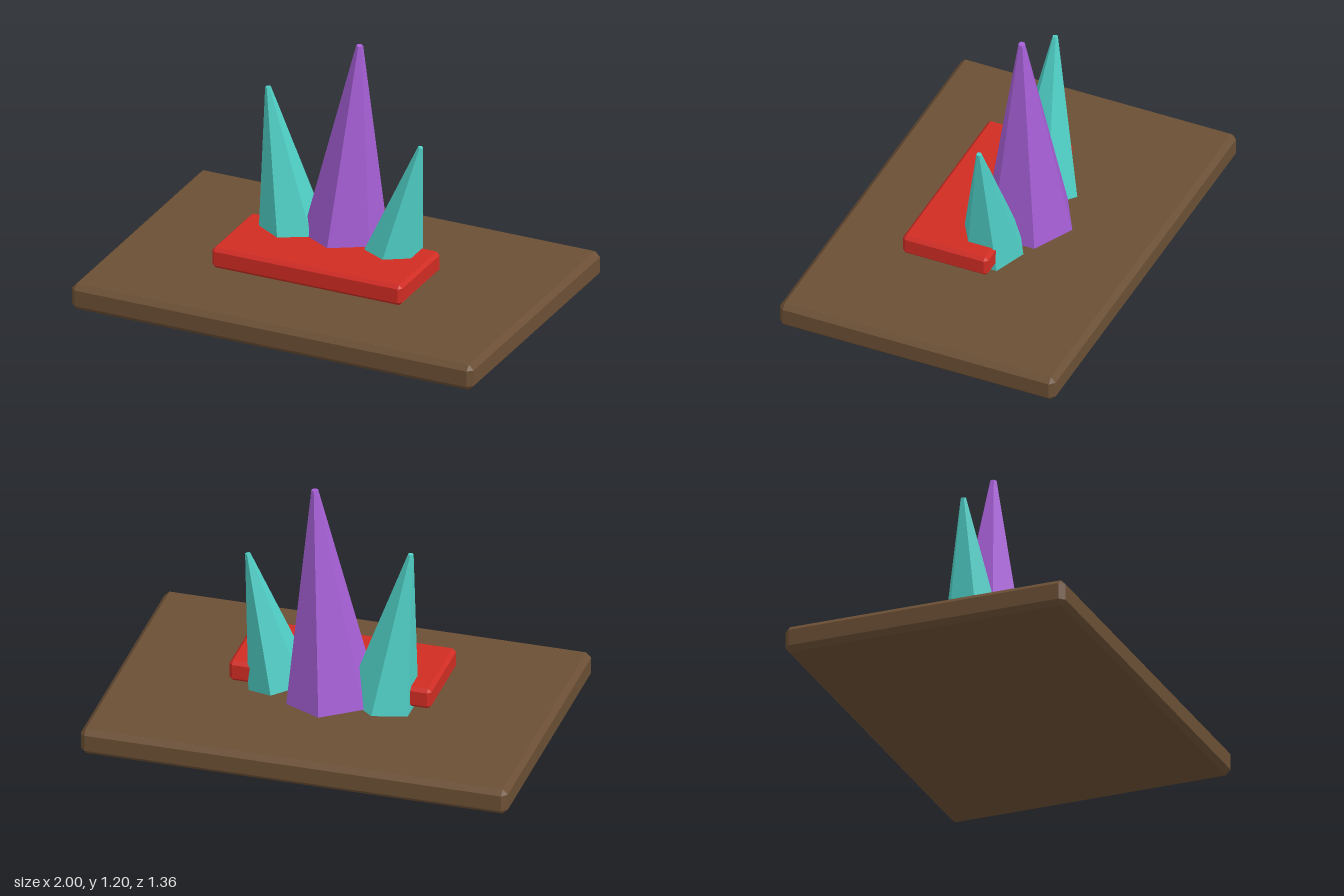
import * as THREE from 'three';
import { ConvexGeometry } from 'three/addons/geometries/ConvexGeometry.js';

const material = (name, color) => {
  const m = new THREE.MeshStandardMaterial({ color });
  m.name = name;
  return m;
};

// Box with every edge and corner cut flat by c
function chamferedBox(w, h, d, c) {
  const points = [];
  for (const sx of [-1, 1]) for (const sy of [-1, 1]) for (const sz of [-1, 1]) {
    for (let outer = 0; outer < 3; outer++) {
      const inset = [0, 1, 2].map((axis) => (axis === outer ? 0 : c));
      points.push(new THREE.Vector3(
        sx * (w / 2 - inset[0]), sy * (h / 2 - inset[1]), sz * (d / 2 - inset[2])));
    }
  }
  return new ConvexGeometry(points);
}

// Six-sided tapered crystal standing along the line from base to tip
function crystal(name, mat, base, tip, radius, tipRadius) {
  const from = new THREE.Vector3(...base);
  const axis = new THREE.Vector3(...tip).sub(from);
  const length = axis.length();
  const geometry = new THREE.CylinderGeometry(tipRadius, radius, length, 6)
    .translate(0, length / 2, 0).toNonIndexed();
  geometry.computeVertexNormals();
  const mesh = new THREE.Mesh(geometry, mat);
  mesh.name = name;
  mesh.position.copy(from);
  mesh.quaternion.setFromUnitVectors(new THREE.Vector3(0, 1, 0), axis.normalize());
  return mesh;
}

export function createModel() {
  const wood = material('brown wood', 0x6b4f35);
  const red = material('red', 0xd02c23);
  const purple = material('purple crystal', 0xa65fd6);
  const teal = material('teal crystal', 0x4ecdc4);

  const model = new THREE.Group();
  model.name = 'crystalDisplay';

  // Wooden base board
  const board = new THREE.Mesh(chamferedBox(2, 0.125, 1.36, 0.024), wood);
  board.name = 'baseBoard';
  board.position.y = 0.0625;

  // Red slab floating just above the board
  const slab = new THREE.Mesh(chamferedBox(0.946, 0.1, 0.42, 0.016), red);
  slab.name = 'redSlab';
  slab.position.set(-0.002, 0.208, 0.1);

  // Crystal cluster passing through the back of the slab
  model.add(
    board,
    slab,
    crystal('centreCrystal', purple, [-0.01, 0.154, -0.103], [0.07, 1.2, -0.1], 0.21, 0.016),
    crystal('rightCrystal', teal, [-0.235, 0.157, -0.065], [-0.37, 0.921, -0.065], 0.17, 0.013),
    crystal('leftCrystal', teal, [0.25, 0.16, -0.04], [0.402, 0.789, -0.04], 0.15, 0.012),
  );
  return model;
}
